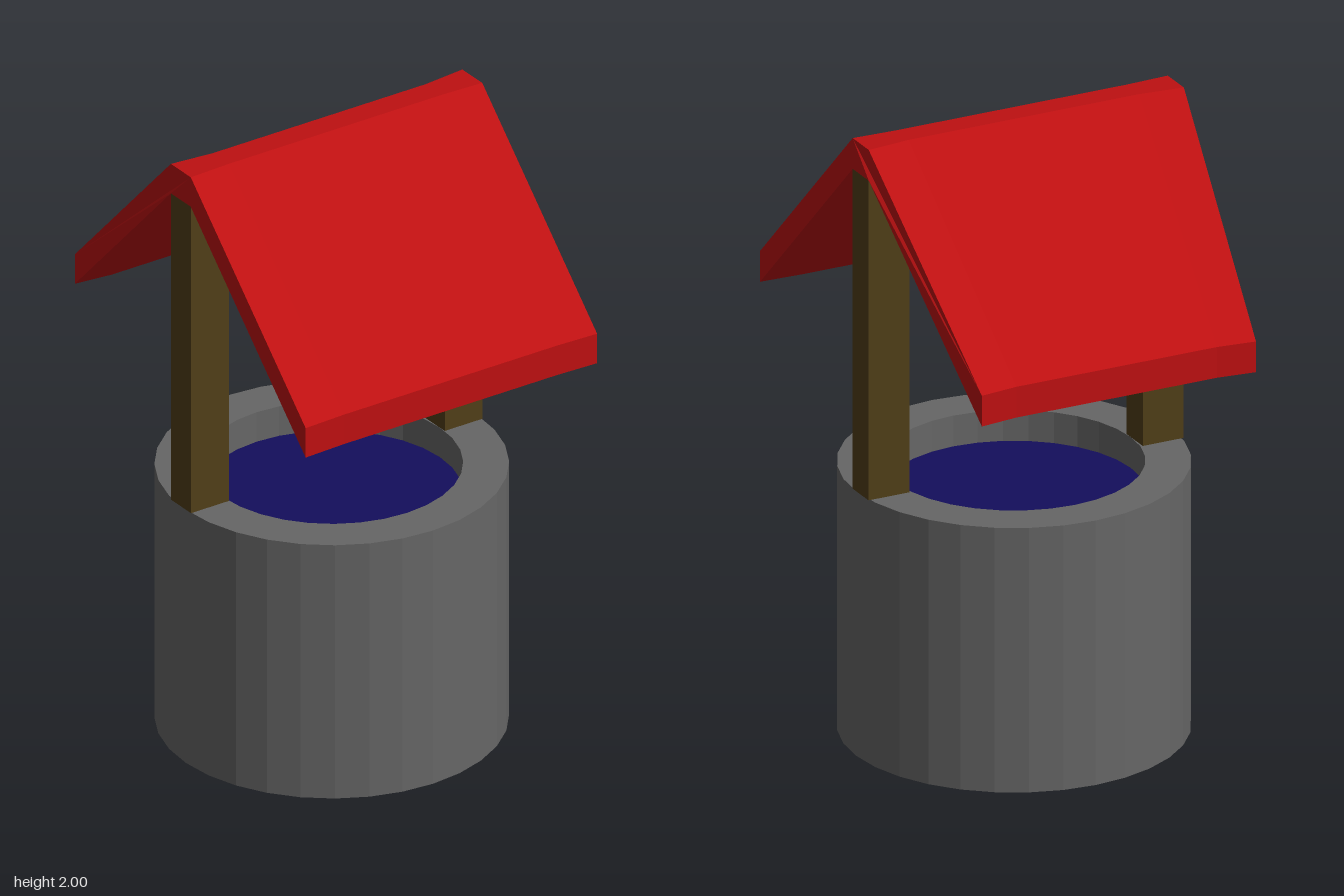
import * as THREE from 'three';

const paint = (color) => new THREE.MeshStandardMaterial({ color, flatShading: true });

function addMesh(group, name, geometry, material) {
  const mesh = new THREE.Mesh(geometry, material);
  mesh.name = name;
  group.add(mesh);
  return mesh;
}

const shapeFrom = (pairs) => new THREE.Shape(pairs.map(([x, y]) => new THREE.Vector2(x, y)));

// Gabled roof: an extruded chevron, slightly narrowed towards its back eave
function roofGeometry() {
  const chevron = shapeFrom([
    [0.655, 1.41], [0.655, 1.31], [0.05, 1.9], [-0.055, 1.9],
    [-0.66, 1.31], [-0.66, 1.41], [-0.055, 2], [0.05, 2],
  ]);
  const geometry = new THREE.ExtrudeGeometry(chevron, { depth: 3, steps: 3, bevelEnabled: false });
  geometry.translate(0, 0, -1.5);
  geometry.rotateY(-Math.PI / 2);
  const p = geometry.attributes.position;
  for (let i = 0; i < p.count; i++) {
    const z = p.getZ(i);
    const isEnd = Math.abs(p.getX(i)) > 1;
    const taper = z < 0 ? 1 - 0.13 * (-z - 0.055) / 0.605 : 1;
    p.setX(i, Math.sign(p.getX(i)) * (isEnd ? 0.533 : 0.39) * taper);
    // the middle of the roof is pinched a little towards the ridge
    if (!isEnd) p.setZ(i, z > 0 ? z - 0.006 : z + 0.015);
  }
  geometry.computeVertexNormals();
  return geometry;
}

export function createModel() {
  const well = new THREE.Group();
  well.name = 'well';
  const stone = paint(0x666666);
  const wood = paint(0x503e18);
  const red = paint(0xbe1011);
  const blue = paint(0x140e5c);

  const outer = 0.533, inner = 0.395, rim = 0.86, waterLevel = 0.76, wellZ = 0.025;

  // Stone wall with closed base and hollow top
  const wallProfile = [[0, 0], [outer, 0], [outer, rim], [inner, rim], [inner, waterLevel - 0.02]]
    .map(([r, y]) => new THREE.Vector2(r, y));
  addMesh(well, 'stoneWall', new THREE.LatheGeometry(wallProfile, 32), stone).position.z = wellZ;

  // Water surface
  const water = addMesh(well, 'water', new THREE.CircleGeometry(inner, 32), blue);
  water.rotation.x = -Math.PI / 2;
  water.position.set(0, waterLevel, wellZ);

  // Two posts joined by a crossbeam
  const arch = shapeFrom([
    [-outer, rim], [-inner, rim], [-inner, 1.76], [inner, 1.76],
    [inner, rim], [outer, rim], [outer, 1.9], [-outer, 1.9],
  ]);
  const frame = new THREE.ExtrudeGeometry(arch, { depth: 0.105, bevelEnabled: false });
  frame.translate(0, 0, -0.0535);
  addMesh(well, 'postsAndBeam', frame, wood);

  addMesh(well, 'roof', roofGeometry(), red);
  return well;
}
